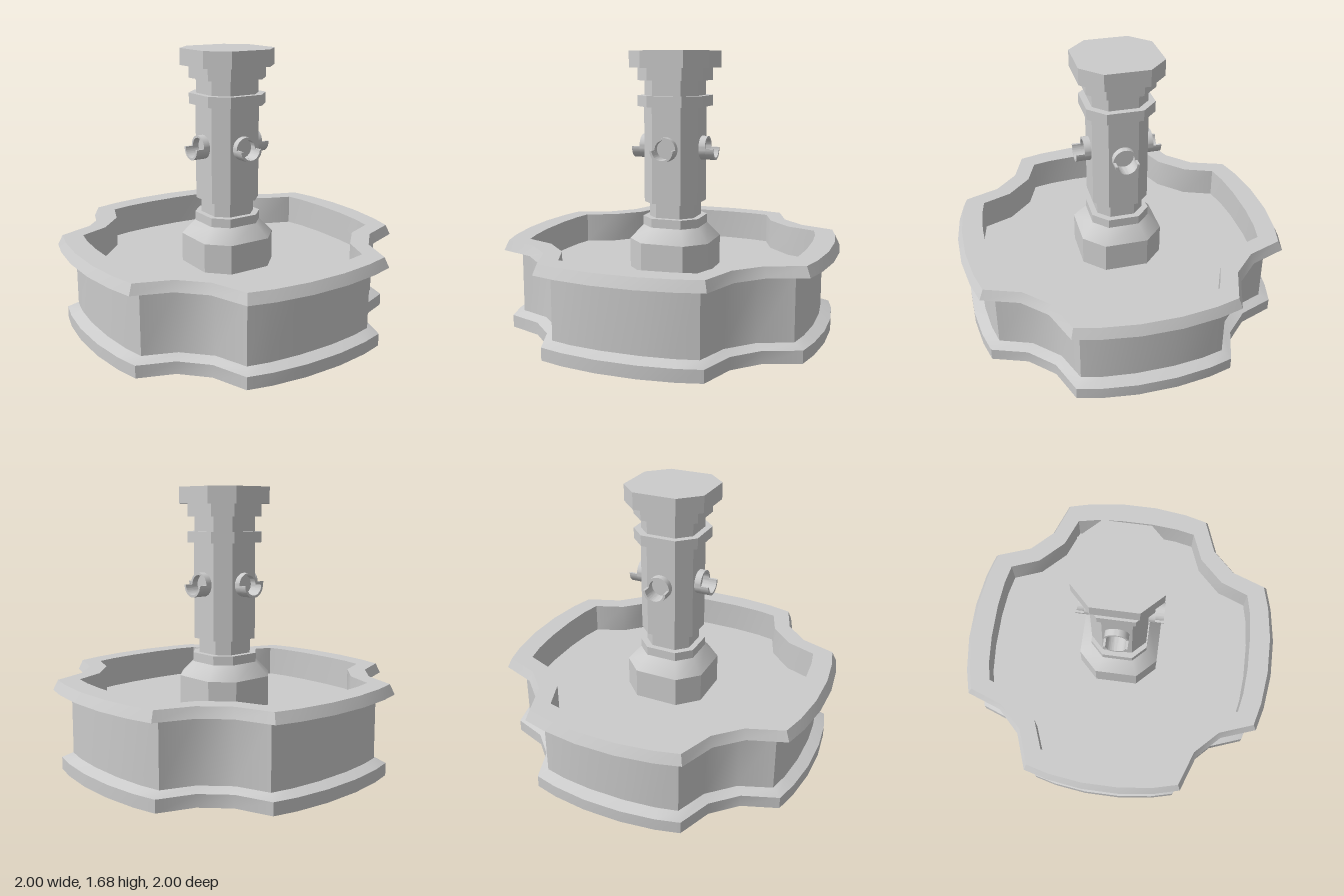
import * as THREE from 'three';
import { toCreasedNormals } from 'three/addons/utils/BufferGeometryUtils.js';

const stone = new THREE.MeshStandardMaterial({ color: 0xcccccc });

// One quarter of the basin outline, outermost and innermost, as [x, z]
const OUTER = [[1, 0.12], [0.97, 0.34], [0.93, 0.49], [0.71, 0.57], [0.57, 0.71], [0.49, 0.93], [0.34, 0.97], [0.12, 1]];
const INNER = [[0.84, 0.11], [0.825, 0.28], [0.8, 0.4], [0.62, 0.47], [0.47, 0.62], [0.4, 0.8], [0.28, 0.825], [0.11, 0.84]];

// Repeat a quarter outline four times around the y axis at height y
function fourfold(quarter, y) {
  const ring = [];
  for (let q = 0; q < 4; q++) {
    for (let [x, z] of quarter) {
      for (let k = 0; k < q; k++) [x, z] = [-z, x];
      ring.push([x, y, z]);
    }
  }
  return ring;
}

// Basin cross-section whose side reaches x = reach
function basinRing(reach, y) {
  const t = (1 - reach) / 0.16;
  const quarter = OUTER.map(([x, z], i) => [x + (INNER[i][0] - x) * t, z + (INNER[i][1] - z) * t]);
  return fourfold(quarter, y);
}

// Chamfered-square cross-section of half width w
function columnRing(w, y) {
  return fourfold([[w, 0.53 * w], [0.53 * w, w]], y);
}

// Skin a stack of rings and close both ends with fans
function loft(rings) {
  const pos = [];
  const n = rings[0].length;
  const tri = (...points) => points.forEach((p) => pos.push(...p));
  const first = rings[0];
  const last = rings[rings.length - 1];
  for (let j = 0; j < n; j++) {
    const k = (j + 1) % n;
    tri([0, first[0][1], 0], first[j], first[k]);
    for (let i = 0; i < rings.length - 1; i++) {
      const a = rings[i];
      const b = rings[i + 1];
      tri(a[j], b[j], a[k]);
      tri(a[k], b[j], b[k]);
    }
    tri([0, last[0][1], 0], last[k], last[j]);
  }
  const geometry = new THREE.BufferGeometry();
  geometry.setAttribute('position', new THREE.Float32BufferAttribute(pos, 3));
  return toCreasedNormals(geometry, 0.6);
}

function addMesh(parent, name, geometry) {
  const mesh = new THREE.Mesh(geometry, stone);
  mesh.name = name;
  parent.add(mesh);
  return mesh;
}

// Collar pipe with an open half-pipe trough, pointing along +z
function createSpout() {
  const spout = new THREE.Group();
  const R = 0.072;
  const r = 0.058;
  const extrude = (shape, depth) => toCreasedNormals(
    new THREE.ExtrudeGeometry(shape, { depth, bevelEnabled: false, curveSegments: 24 }), 0.6);

  const collar = new THREE.Shape();
  collar.absarc(0, 0, R, 0, Math.PI * 2, false);
  const bore = new THREE.Path();
  bore.absarc(0, 0, r, 0, Math.PI * 2, true);
  collar.holes.push(bore);
  addMesh(spout, 'spoutCollar', extrude(collar, 0.05)).position.z = 0.16;

  const trough = new THREE.Shape();
  trough.absarc(0, 0, R, Math.PI, Math.PI * 2, false);
  trough.absarc(0, 0, r, Math.PI * 2, Math.PI, true);
  trough.closePath();
  addMesh(spout, 'spoutTrough', extrude(trough, 0.05)).position.z = 0.21;
  return spout;
}

export function createModel() {
  const model = new THREE.Group();
  model.name = 'fountain';

  // Basin: plinth, wall, overhanging rim and sunken floor as [reach, height]
  const basin = [
    [0.96, 0], [0.96, 0.075], [0.89, 0.1], [0.89, 0.49],
    [1, 0.49], [0.97, 0.55], [0.84, 0.55], [0.84, 0.36],
  ];
  addMesh(model, 'basin', loft(basin.map(([reach, y]) => basinRing(reach, y))));

  // Column: pedestal, neck, shaft with band, and cap as [half width, height]
  const column = [
    [0.25, 0.35], [0.25, 0.54], [0.177, 0.625], [0.177, 0.68],
    [0.142, 0.68], [0.142, 0.77], [0.17, 0.77], [0.17, 1.355],
    [0.205, 1.355], [0.205, 1.42], [0.167, 1.42], [0.167, 1.51],
    [0.205, 1.51], [0.205, 1.585], [0.25, 1.585], [0.25, 1.685],
  ];
  addMesh(model, 'column', loft(column.map(([w, y]) => columnRing(w, y))));

  // One spout on each face of the shaft
  for (let i = 0; i < 4; i++) {
    const spout = createSpout();
    spout.name = 'spout' + (i + 1);
    spout.position.y = 1.105;
    spout.rotation.y = i * Math.PI / 2;
    model.add(spout);
  }
  return model;
}
